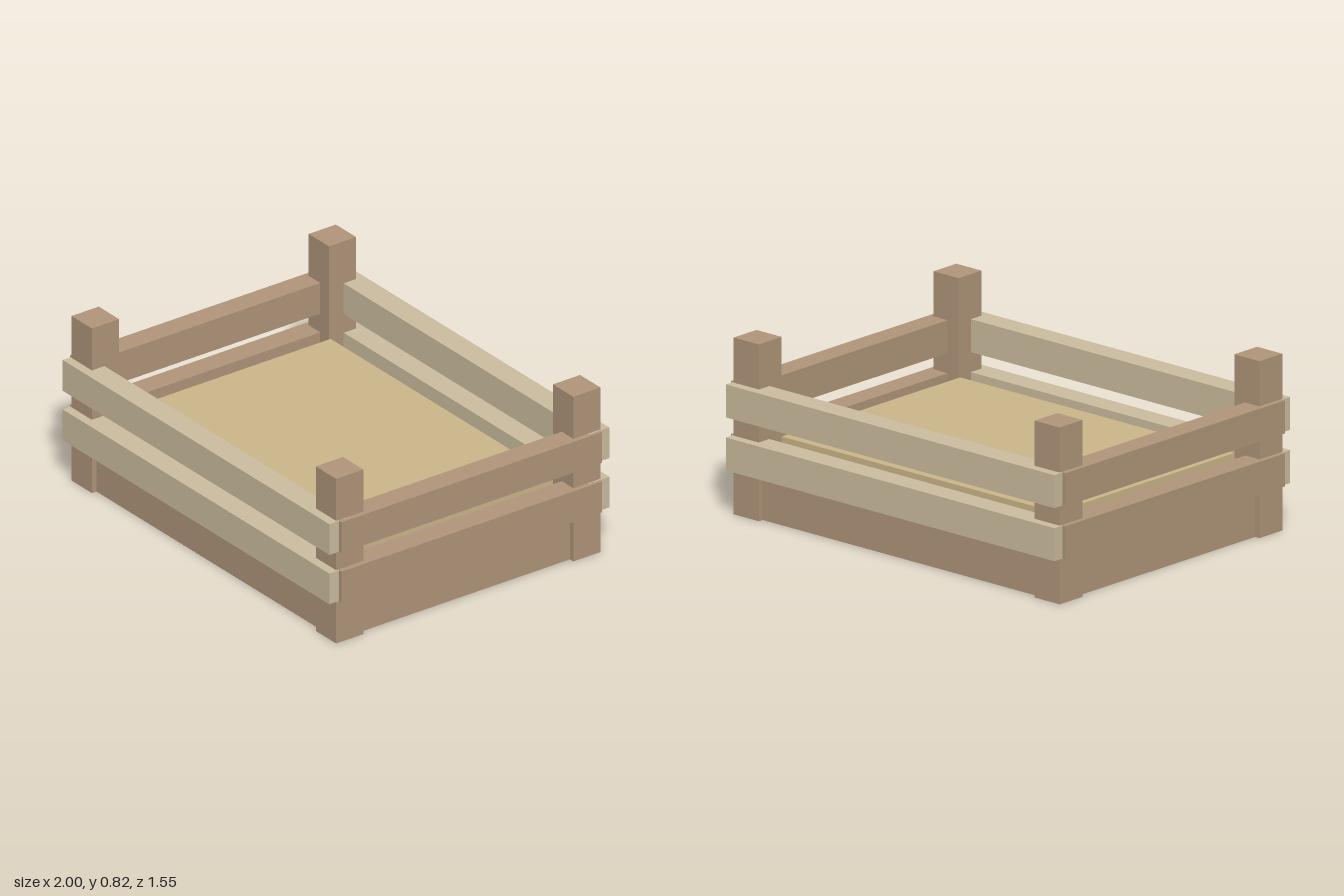
import * as THREE from 'three';

const material = (color) => new THREE.MeshStandardMaterial({ color, flatShading: true });

export function createModel() {
  const model = new THREE.Group();
  model.name = 'sandbox';
  const brown = material(0xb0957a);
  const tan = material(0xccbd9f);
  const sand = material(0xcbb789);

  // Box given by its size, its centre in x and z, and its underside height
  const block = (name, mat, w, h, d, x, y, z) => {
    const mesh = new THREE.Mesh(new THREE.BoxGeometry(w, h, d), mat);
    mesh.position.set(x, y + h / 2, z);
    mesh.name = name;
    model.add(mesh);
  };

  // Solid wooden base with the sand bed rising out of it
  block('base', brown, 1.9, 0.25, 1.41, 0, 0, 0);
  block('sandBed', sand, 1.64, 0.16, 1.17, 0, 0.2, 0);

  // Corner posts
  for (const sx of [-1, 1]) {
    for (const sz of [-1, 1]) {
      const name = (sz > 0 ? 'front' : 'back') + (sx > 0 ? 'Left' : 'Right') + 'Post';
      block(name, brown, 0.15, 0.82, 0.15, sx * 0.9, 0, sz * 0.655);
    }
  }

  // Two rows of slats around the frame
  [['lower', 0.212], ['upper', 0.458]].forEach(([row, y]) => {
    for (const s of [-1, 1]) {
      block(row + (s > 0 ? 'Front' : 'Back') + 'Slat', tan, 1.966, 0.153, 0.113, 0, y, s * 0.717);
      block(row + (s > 0 ? 'Left' : 'Right') + 'Slat', brown, 0.11, 0.153, 1.44, s * 0.945, y, 0);
    }
  });

  return model;
}
